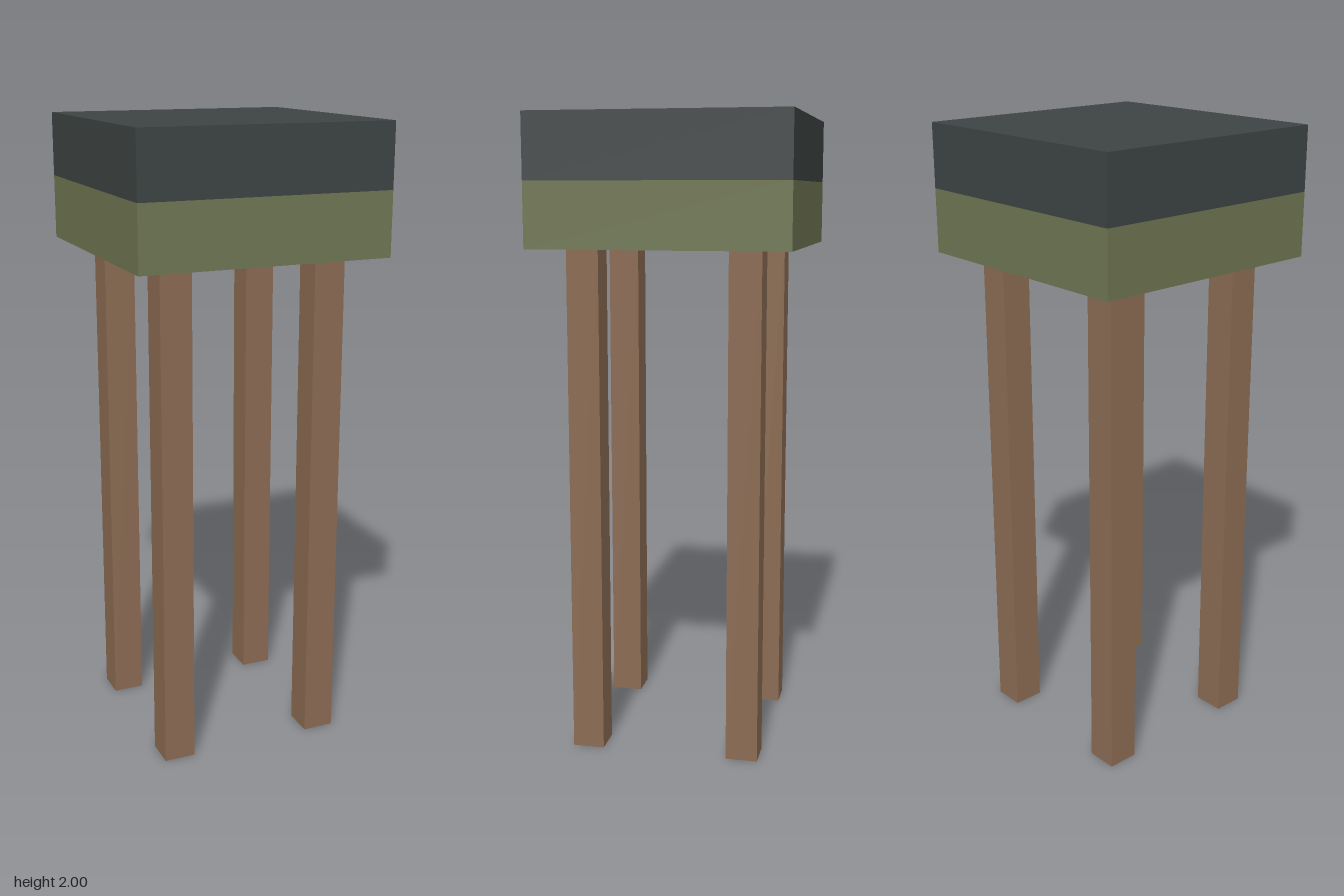
import * as THREE from 'three';

export function createModel() {
  const model = new THREE.Group();
  model.name = 'stool';

  const makeMaterial = (name, color) => {
    const material = new THREE.MeshStandardMaterial({ color });
    material.name = name;
    return material;
  };
  const charcoal = makeMaterial('charcoal', 0x3d4443);
  const olive = makeMaterial('olive', 0x6f7653);
  const wood = makeMaterial('wood', 0x8b6c53);

  // Adds a box whose underside sits at the given height
  const addBox = (name, material, width, height, x, bottom, z) => {
    const mesh = new THREE.Mesh(new THREE.BoxGeometry(width, height, width), material);
    mesh.name = name;
    mesh.position.set(x, bottom + height / 2, z);
    model.add(mesh);
  };

  // Two-layer square seat
  addBox('seatCushion', charcoal, 0.8, 0.2, 0, 1.8, 0);
  addBox('seatBase', olive, 0.8, 0.2, 0, 1.6, 0);

  // Four straight legs
  for (const [end, z] of [['front', 0.25], ['back', -0.25]]) {
    for (const [side, x] of [['Left', 0.25], ['Right', -0.25]]) {
      addBox(`${end}${side}Leg`, wood, 0.1, 1.6, x, 0, z);
    }
  }

  return model;
}
